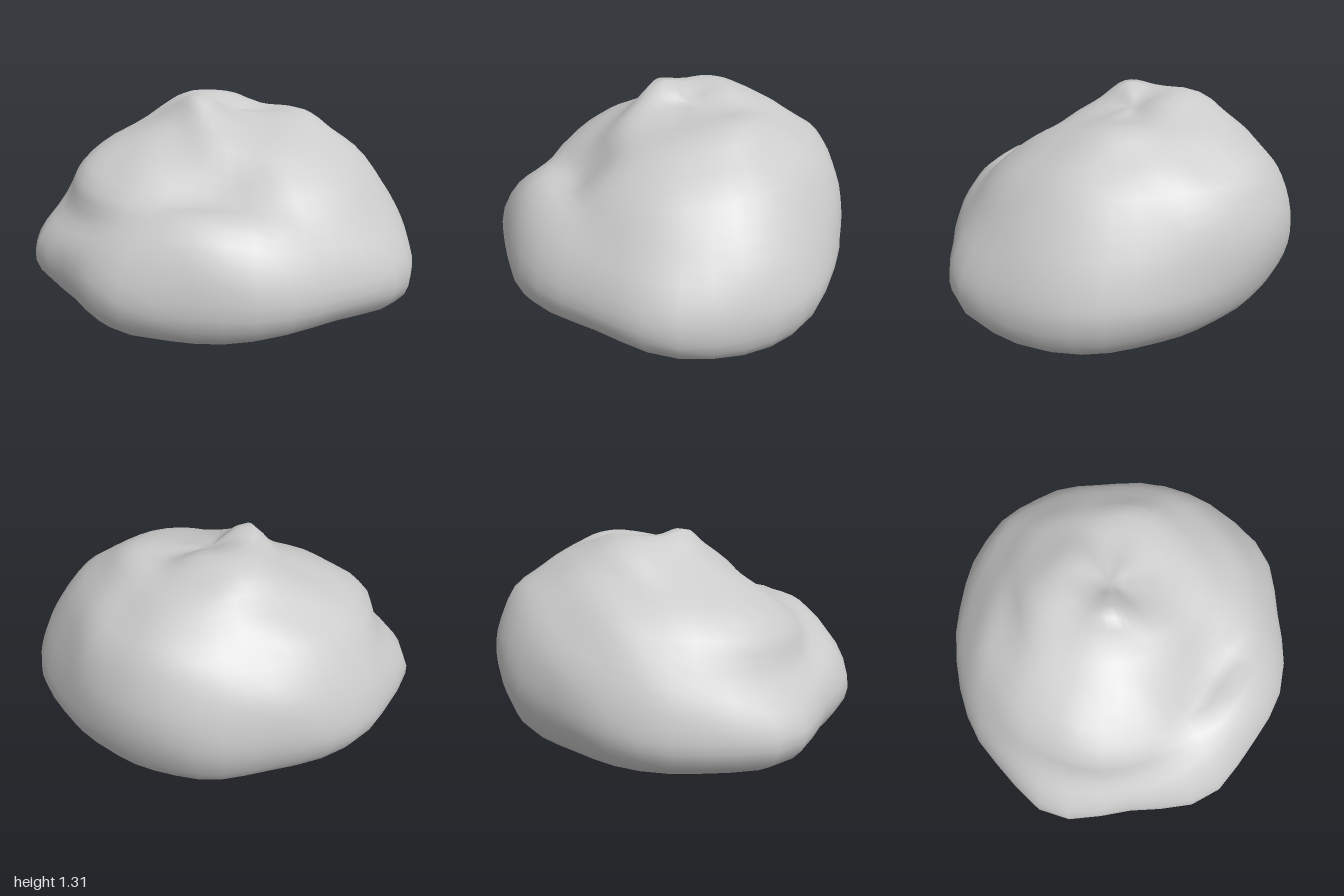
import * as THREE from 'three';

// Upper profiles, summit to waist: [radius, height] in eight directions, from +x round by +z
const upper = [
  [[.2, 1.2], [.4, 1.2], [.54, 1.11], [.72, .97], [.84, .74], [.89, .56]],
  [[.2, 1.2], [.44, 1.17], [.6, 1.08], [.77, .95], [.94, .72], [1.02, .55]],
  [[.2, 1.18], [.45, 1.1], [.6, 1.02], [.77, .89], [.89, .73], [.98, .58]],
  [[.2, 1.2], [.4, 1.11], [.56, .93], [.68, .84], [.85, .84], [.98, .73]],
  [[.22, 1.31], [.36, 1.16], [.66, 1.02], [.86, .87], [.92, .71], [1.03, .58]],
  [[.22, 1.3], [.42, 1.2], [.62, 1.08], [.83, .93], [.94, .75], [1.01, .59]],
  [[.22, 1.29], [.42, 1.25], [.53, 1.15], [.69, 1.02], [.85, .81], [.9, .62]],
  [[.2, 1.26], [.42, 1.19], [.6, 1.11], [.76, .99], [.86, .8], [.88, .62]],
];
// Lower profiles, waist to base
const lower = [
  [[.9, .42], [.82, .25], [.64, .12], [.3, .03]],
  [[1.05, .4], [1.01, .24], [.76, .11], [.34, .02]],
  [[1.02, .41], [.96, .28], [.64, .13], [.3, .03]],
  [[1.06, .46], [1.02, .27], [.69, .11], [.32, .02]],
  [[1.06, .41], [.95, .24], [.66, .12], [.3, .04]],
  [[1.03, .43], [.94, .29], [.63, .15], [.3, .05]],
  [[.88, .45], [.78, .28], [.55, .16], [.28, .05]],
  [[.85, .45], [.77, .28], [.58, .15], [.3, .04]],
];
// How far the waist juts out midway between neighbouring directions
const corners = [.015, .05, .02, .06, .08, .01, .02, -.01];
const SEGMENTS = 40, RINGS = 30;
const AXIS_X = .08, AXIS_Z = -.07;
const { smoothstep } = THREE.MathUtils;

// Small lumps that make the stone uneven, stronger towards the top
function lump(x, y, z) {
  const n = Math.sin(7 * x + 2.1 * z + 1) * Math.sin(6 * z - 3 * y + .5)
    + .8 * Math.sin(13 * z + 5 * y) * Math.sin(12 * x - 4 * y + 2);
  return n * (.002 + .006 * smoothstep(y, .5, 1.1));
}

// Corner bulge around the waist at angle fraction t
function corner(t, y) {
  const s = t * corners.length;
  const waist = smoothstep(y, .08, .35) * (1 - smoothstep(y, .45, .8));
  return corners[Math.floor(s)] * Math.sin(Math.PI * (s % 1)) ** 2 * waist;
}

function stoneGeometry() {
  // Smooth profile curves, then a smooth closed loop through them at every ring
  const profiles = upper.map((u, i) => new THREE.CatmullRomCurve3(
    [[0, 1.21], ...u, ...lower[i], [0, 0]].map(([r, y]) => new THREE.Vector3(r, y, 0))));
  const positions = [], index = [];
  const last = RINGS * SEGMENTS;
  // One shared vertex at each pole keeps the shading smooth
  const add = (...face) => index.push(
    ...face.map(v => v < SEGMENTS ? 0 : v >= last ? last : v));
  for (let j = 0; j <= RINGS; j++) {
    const points = profiles.map(p => p.getPoint(j / RINGS));
    const loop = new THREE.CatmullRomCurve3(points, true, 'catmullrom', .5);
    for (let i = 0; i < SEGMENTS; i++) {
      const t = i / SEGMENTS, p = loop.getPoint(t);
      const dx = Math.cos(t * Math.PI * 2), dz = Math.sin(t * Math.PI * 2);
      const d = Math.min(1, p.x * 4) * lump(p.x * dx, p.y, p.x * dz);
      const r = Math.max(0, p.x + d + corner(t, p.y));
      const rise = d * smoothstep(p.y, .5, .7);
      positions.push(AXIS_X + dx * r, p.y + rise, AXIS_Z + dz * r);
      if (j === RINGS) continue;
      const k = (i + 1) % SEGMENTS, a = j * SEGMENTS, b = a + SEGMENTS;
      if (j > 0) add(a + i, a + k, b + i);
      if (j < RINGS - 1) add(a + k, b + k, b + i);
    }
  }
  const g = new THREE.BufferGeometry();
  g.setAttribute('position', new THREE.Float32BufferAttribute(positions, 3));
  g.setIndex(index);
  g.computeVertexNormals();
  return g;
}

export function createModel() {
  const group = new THREE.Group();
  group.name = 'rock';
  const stone = new THREE.Mesh(
    stoneGeometry(), new THREE.MeshStandardMaterial({ color: 0xcccccc }));
  stone.name = 'boulder';
  group.add(stone);
  return group;
}
